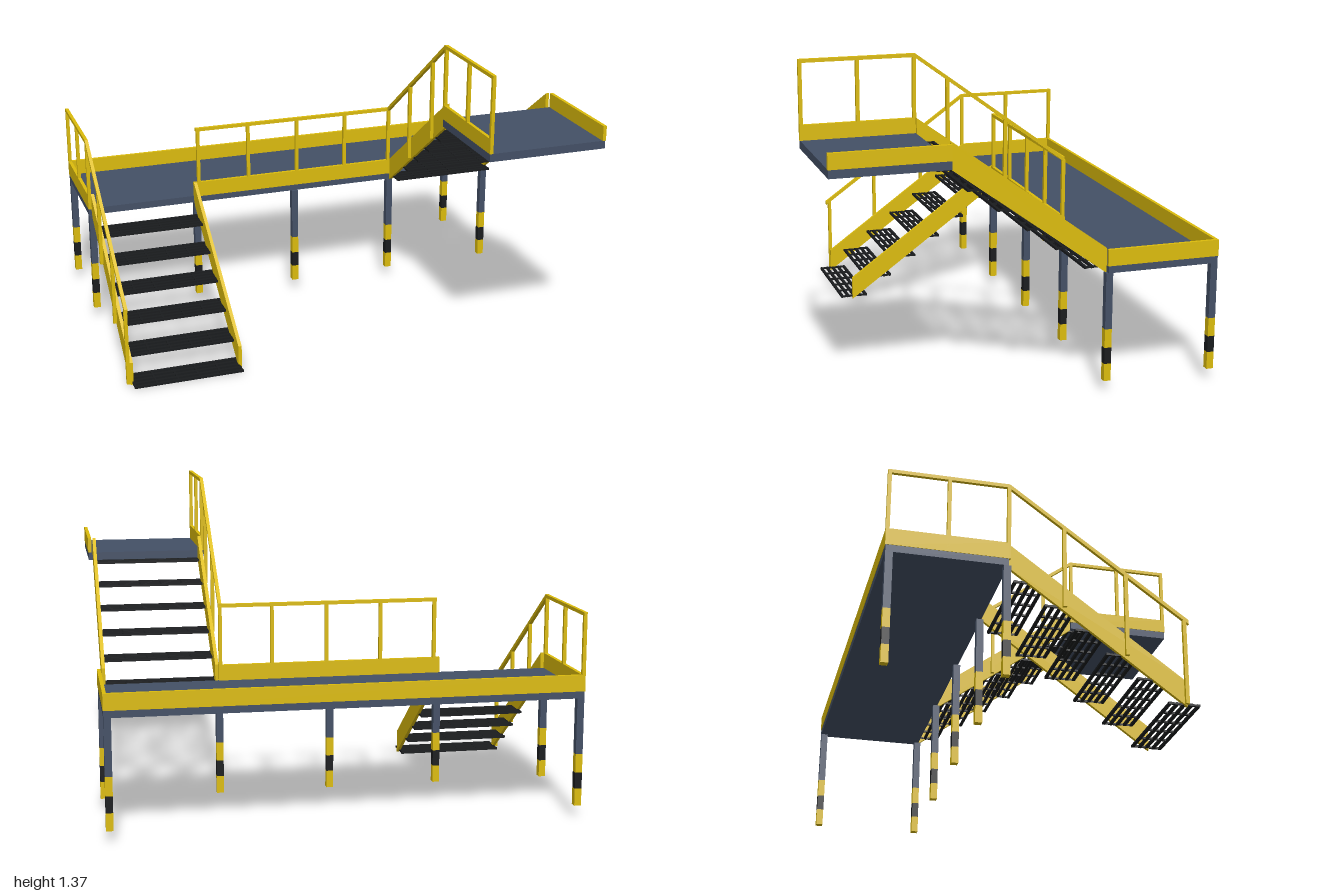
import * as THREE from 'three';
import { mergeGeometries } from 'three/addons/utils/BufferGeometryUtils.js';

const paint = (color) => new THREE.MeshStandardMaterial({ color });

export function createModel() {
  const model = new THREE.Group();
  const yellow = paint(0xdcbc0c), slate = paint(0x445066), black = paint(0x1a1c1e);
  const T = 0.015; // thickness of rails, posts and boards

  // box given by its extents
  const block = (x0, x1, y0, y1, z0, z1) =>
    new THREE.BoxGeometry(x1 - x0, y1 - y0, z1 - z0)
      .translate((x0 + x1) / 2, (y0 + y1) / 2, (z0 + z1) / 2);

  // side profile of [z, y] points, extruded from x0 to x1
  const prism = (x0, x1, points) => {
    const shape = new THREE.Shape(points.map(([z, y]) => new THREE.Vector2(z, y)));
    return new THREE.ExtrudeGeometry(shape, { depth: x1 - x0, bevelEnabled: false })
      .rotateY(-Math.PI / 2).translate(x1, 0, 0).toNonIndexed?.() ?? null;
  };
  const sloped = (x0, x1, za, ya, zb, yb, h) =>
    prism(x0, x1, [[za, ya], [zb, yb], [zb, yb + h], [za, ya + h]]);

  const add = (name, material, parts, parent = model) => {
    const geometry = mergeGeometries(parts.map((p) => (p.index ? p.toNonIndexed() : p)));
    const mesh = new THREE.Mesh(geometry, material);
    mesh.name = name;
    parent.add(mesh);
  };

  // decks
  add('lowerDeck', slate, [block(-0.998, 0.998, 0.52, 0.552, -0.818, -0.332)]);
  add('upperDeck', slate, [block(0.467, 0.998, 1.0, 1.035, 0.33, 0.818)]);

  // toe boards round the deck edges
  add('lowerToeBoards', yellow, [
    block(-1, 1, 0.55, 0.62, -0.82, -0.82 + T),
    block(-1, -1 + T, 0.55, 0.62, -0.82 + T, -0.33),
    block(1 - T, 1, 0.55, 0.62, -0.82 + T, -0.33),
    block(-0.5, 0.48, 0.55, 0.62, -0.34, -0.34 + T),
  ]);
  add('upperToeBoards', yellow, [
    block(0.465, 0.465 + T, 1.035, 1.1, 0.33, 0.82),
    block(1 - T, 1, 1.035, 1.1, 0.33, 0.82),
  ]);

  // legs: five along the front edge, two at the back corners
  const legSpots = [-0.983, -0.487, -0.005, 0.48, 0.983].map((x) => [x, -0.337]);
  legSpots.push([-0.983, -0.803], [0.983, -0.803]);
  const bands = [[0.28, 0.52, slate], [0.2, 0.28, yellow], [0.13, 0.2, black], [0.055, 0.13, yellow]];
  for (const [x, z] of legSpots) {
    const leg = new THREE.Group();
    leg.name = 'leg';
    const r = 0.015;
    for (const [y0, y1, mat] of bands) add('legBand', mat, [block(x - r, x + r, y0, y1, z - r, z + r)], leg);
    model.add(leg);
  }

  // open grating tread
  const tread = (x0, x1, y, z, parent) => {
    const parts = [];
    for (let i = -2; i <= 2; i++) {
      const c = z + i * 0.0292;
      parts.push(block(x0, x1, y - 0.005, y + 0.005, c - 0.006, c + 0.006));
    }
    for (let i = 0; i <= 5; i++) {
      const c = x0 + 0.005 + ((x1 - x0 - 0.01) * i) / 5;
      parts.push(block(c - 0.004, c + 0.004, y - 0.004, y + 0.004, z - 0.064, z + 0.064));
    }
    add('tread', black, parts, parent);
  };

  // flight: two stringers and six treads, running from [z, y] low to high
  const flight = (name, x0, x1, low, high, firstY, firstZ, stepZ) => {
    const stair = new THREE.Group();
    stair.name = name;
    for (const x of [x0, x1 - T]) add('stringer', yellow, [sloped(x, x + T, ...low, ...high, 0.105)], stair);
    for (let i = 0; i < 6; i++) tread(x0 + 0.008, x1 - 0.008, firstY + 0.09 * i, firstZ + stepZ * i, stair);
    model.add(stair);
  };
  flight('lowerStair', -0.985, -0.485, [0.385, 0.003], [-0.33, 0.517], 0.015, 0.376, -0.1235);
  flight('upperStair', 0.48, 0.98, [-0.33, 0.517], [0.33, 0.997], 0.545, -0.3, 0.124);

  // side railing: level rail along a deck, then a sloped rail down the stair
  const post = (x, y0, y1, z) => block(x, x + T, y0, y1, z - T / 2, z + T / 2);
  add('lowerSideRailing', yellow, [
    block(-1, -1 + T, 0.87, 0.885, -0.82, -0.33),
    sloped(-1, -1 + T, 0.4, 0.35, -0.33, 0.868, 0.018),
    post(-1, 0.55, 0.875, -0.8125), post(-1, 0.55, 0.875, -0.572), post(-1, 0.55, 0.875, -0.331),
    post(-1, 0.37, 0.715, -0.105), post(-1, 0.19, 0.536, 0.145), post(-1, 0.01, 0.365, 0.382),
  ]);
  add('upperSideRailing', yellow, [
    block(0.465, 0.465 + T, 1.355, 1.37, 0.33, 0.82),
    sloped(0.465, 0.465 + T, 0.33, 1.352, -0.33, 0.868, 0.018),
    post(0.465, 1.035, 1.36, 0.8125), post(0.465, 1.035, 1.36, 0.575), post(0.465, 1.035, 1.36, 0.335),
    post(0.465, 0.9, 1.255, 0.19), post(0.465, 0.72, 1.067, -0.065), post(0.465, 0.55, 0.875, -0.331),
  ]);

  // railing along the front of the lower deck, between the two stairs
  const front = [block(-0.485, 0.465, 0.87, 0.885, -0.34, -0.325)];
  for (const x of [-0.482, -0.24, 0, 0.24]) front.push(post(x, 0.6, 0.872, -0.3325));
  add('frontRailing', yellow, front);

  return model;
}
